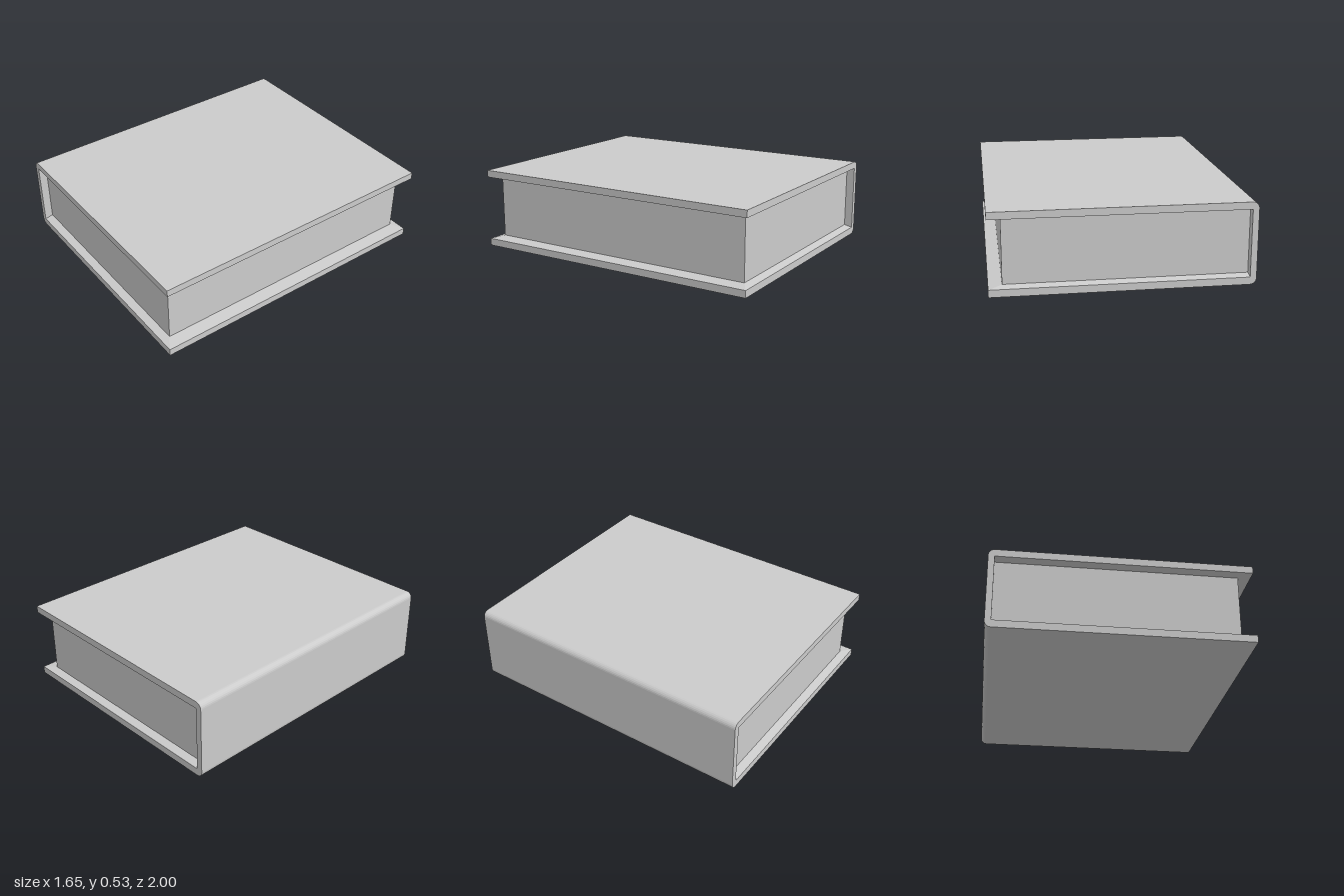
import * as THREE from 'three';

const X = 0.825, H = 0.53, SPINE = -0.785, LOW = 0.048, HIGH = 0.483, R = 0.04;
const PAGE_X = 0.74, PAGE_Z = 0.945, PAGE_LOW = 0.06, PAGE_HIGH = 0.473;

export function createModel() {
  const book = new THREE.Group();
  book.name = 'book';
  const material = new THREE.MeshStandardMaterial({ color: 0xcccccc, flatShading: true });
  const add = (name, geometry) => {
    const mesh = new THREE.Mesh(geometry, material);
    mesh.name = name;
    book.add(mesh);
    return mesh;
  };

  // Cover: a C-shaped section with a rounded spine, run along z
  const section = new THREE.Shape();
  section.moveTo(X, 0);
  section.lineTo(X, LOW);
  section.lineTo(SPINE, LOW);
  section.lineTo(SPINE, HIGH);
  section.lineTo(X, HIGH);
  section.lineTo(X, H);
  section.lineTo(-X + R, H);
  section.absarc(-X + R, H - R, R, Math.PI / 2, Math.PI, false);
  section.lineTo(-X, R);
  section.absarc(-X + R, R, R, Math.PI, Math.PI * 1.5, false);
  section.closePath();
  const cover = new THREE.ExtrudeGeometry(section, { depth: 2, bevelEnabled: false, curveSegments: 3 });
  cover.translate(0, 0, -1);
  add('cover', cover);

  // Inner linings: thin slabs sloping from the cover's edges up to the pages
  const lining = (name, outerY, innerY) => {
    const geometry = new THREE.BoxGeometry(2, 2, 2);
    const p = geometry.attributes.position;
    const up = innerY > outerY;
    for (let i = 0; i < p.count; i++) {
      const inner = (p.getY(i) > 0) === up;
      const x = p.getX(i) < 0 ? SPINE : inner ? PAGE_X : X;
      p.setXYZ(i, x, inner ? innerY : outerY, Math.sign(p.getZ(i)) * (inner ? PAGE_Z : 1));
    }
    geometry.computeVertexNormals();
    add(name, geometry);
  };
  lining('lowerLining', LOW, PAGE_LOW);
  lining('upperLining', HIGH, PAGE_HIGH);

  // Page block
  const pages = add('pages', new THREE.BoxGeometry(PAGE_X - SPINE, PAGE_HIGH - PAGE_LOW, PAGE_Z * 2));
  pages.position.set((PAGE_X + SPINE) / 2, (PAGE_HIGH + PAGE_LOW) / 2, 0);

  return book;
}
